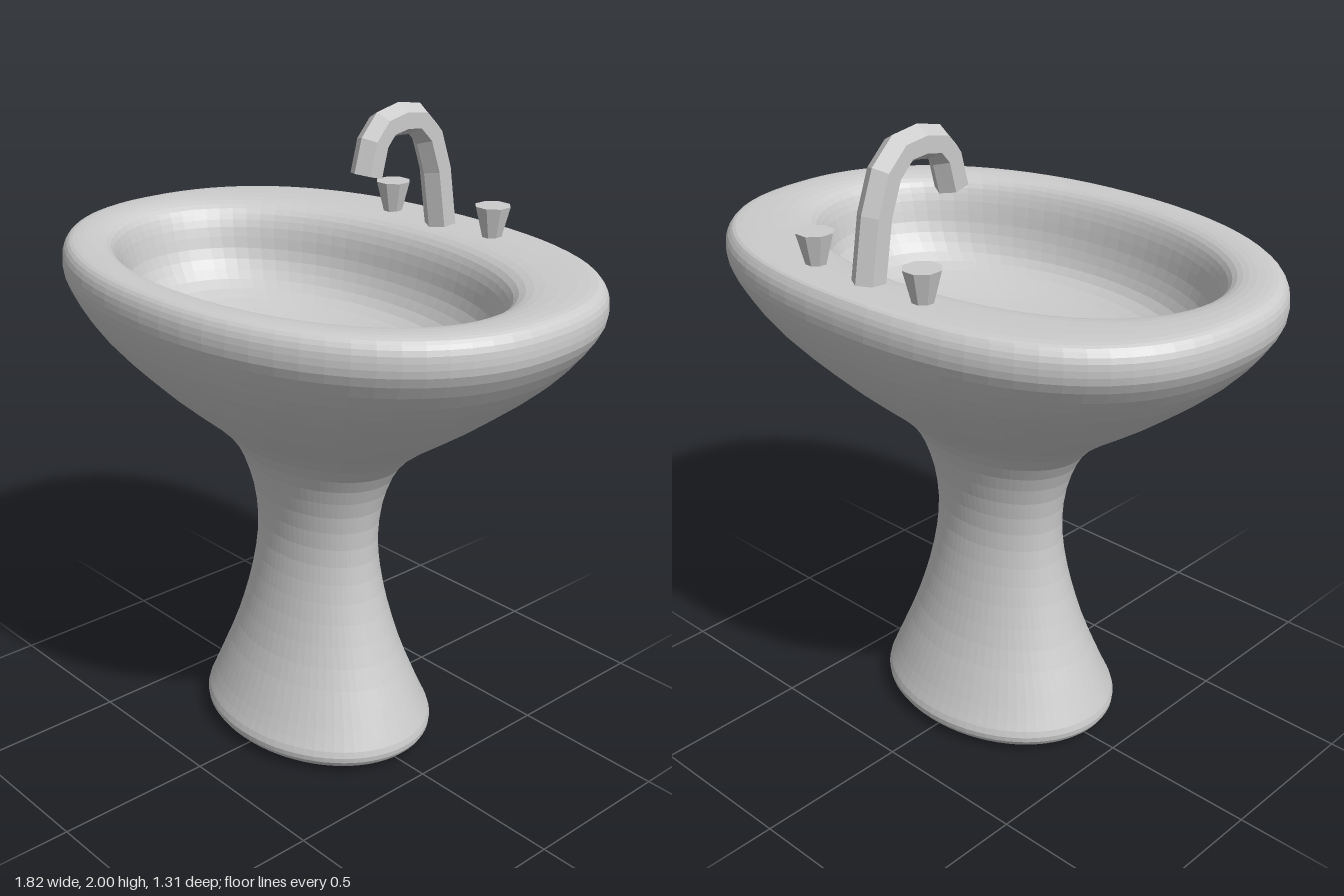
import * as THREE from 'three';

const material = new THREE.MeshStandardMaterial({ color: 0xcccccc, flatShading: true });

// Skin through closed rings of points, with a flat cap at each end
function loft(rings) {
  const n = rings[0].length;
  const points = rings.flat();
  const index = [];
  for (let i = 0; i < rings.length - 1; i++) {
    for (let j = 0; j < n; j++) {
      const k = (j + 1) % n;
      const a = i * n + j, b = i * n + k, c = b + n, d = a + n;
      index.push(a, d, c, a, c, b);
    }
  }
  const middle = (ring) => ring.reduce((s, p) => s.add(p), new THREE.Vector3()).divideScalar(n);
  const start = points.push(middle(rings[0])) - 1;
  const end = points.push(middle(rings[rings.length - 1])) - 1;
  const last = (rings.length - 1) * n;
  for (let j = 0; j < n; j++) {
    const k = (j + 1) % n;
    index.push(start, j, k, end, last + k, last + j);
  }
  const geometry = new THREE.BufferGeometry().setFromPoints(points);
  geometry.setIndex(index);
  geometry.computeVertexNormals();
  return geometry;
}

function addMesh(group, name, geometry) {
  const mesh = new THREE.Mesh(geometry, material);
  mesh.name = name;
  group.add(mesh);
  return mesh;
}

// Pedestal, outer bowl, rim and inner basin: [half width, y, half depth, z centre, back squareness]
const profile = [
  [0.35, 0.00, 0.275, 0, 2],
  [0.395, 0.02, 0.31, 0, 2],
  [0.415, 0.06, 0.33, 0, 2],
  [0.385, 0.14, 0.295, 0, 2],
  [0.31, 0.32, 0.225, 0, 2],
  [0.25, 0.52, 0.175, 0, 2],
  [0.23, 0.70, 0.155, 0, 2],
  [0.26, 0.87, 0.18, 0, 2],
  [0.35, 1.01, 0.245, 0, 2.05],
  [0.59, 1.18, 0.43, 0, 2.1],
  [0.79, 1.34, 0.575, 0, 2.25],
  [0.895, 1.47, 0.645, 0, 2.35],
  [0.91, 1.54, 0.655, 0, 2.4],
  [0.895, 1.585, 0.64, 0, 2.4],
  [0.86, 1.60, 0.61, 0, 2.35],
  [0.78, 1.597, 0.515, 0.04, 2.2],
  [0.725, 1.575, 0.465, 0.055, 2.1],
  [0.695, 1.52, 0.435, 0.06, 2.1],
  [0.66, 1.42, 0.41, 0.06, 2.1],
  [0.58, 1.34, 0.36, 0.065, 2],
  [0.40, 1.295, 0.25, 0.07, 2],
  [0.20, 1.275, 0.125, 0.07, 2],
  [0.03, 1.27, 0.02, 0.07, 2],
];

function basinGeometry() {
  const smooth = (f) => new THREE.CatmullRomCurve3(profile.map(f), false, 'catmullrom', 0.5);
  const size = smooth((p) => new THREE.Vector3(p[0], p[1], p[2]));
  const shape = smooth((p) => new THREE.Vector3(p[3], p[4], 0));
  const steps = (profile.length - 1) * 3, sides = 72;
  const rings = [];
  for (let i = 0; i <= steps; i++) {
    const s = size.getPoint(i / steps), f = shape.getPoint(i / steps);
    const ring = [];
    for (let j = 0; j < sides; j++) {
      const a = (j / sides) * Math.PI * 2;
      const c = Math.cos(a), d = Math.sin(a);
      // The back half of the plan is squarer than the front
      const e = 2 / (d < 0 ? f.y : 2 + (f.y - 2) * 0.3);
      ring.push(new THREE.Vector3(
        s.x * Math.sign(c) * Math.abs(c) ** e,
        s.y,
        f.x + s.z * Math.sign(d) * Math.abs(d) ** e));
    }
    rings.push(ring);
  }
  return loft(rings);
}

// Six-sided spout swept along a hooked path of [z, y] points
function spoutGeometry() {
  const path = [[-0.508, 1.58], [-0.475, 1.78], [-0.435, 1.89], [-0.378, 1.945],
    [-0.31, 1.953], [-0.245, 1.94], [-0.205, 1.895], [-0.18, 1.80]];
  const rings = path.map(([z, y], i) => {
    const p = path[Math.max(i - 1, 0)], q = path[Math.min(i + 1, path.length - 1)];
    const t = new THREE.Vector2(q[0] - p[0], q[1] - p[1]).normalize();
    return Array.from({ length: 6 }, (_, j) => {
      const a = Math.PI / 6 + (j * Math.PI) / 3;
      const u = 0.05 * Math.cos(a), v = 0.05 * Math.sin(a);
      return new THREE.Vector3(u, y - v * t.x, z + v * t.y);
    });
  });
  return loft(rings);
}

export function createModel() {
  const model = new THREE.Group();
  model.name = 'pedestalSink';

  addMesh(model, 'basinAndPedestal', basinGeometry());

  // Tap set on the back of the rim
  const taps = new THREE.Group();
  taps.name = 'taps';
  taps.position.x = 0.018;
  model.add(taps);
  addMesh(taps, 'spout', spoutGeometry());
  for (const side of [-1, 1]) {
    const knob = addMesh(taps, side > 0 ? 'leftKnob' : 'rightKnob',
      new THREE.CylinderGeometry(0.057, 0.028, 0.11, 8));
    knob.rotation.y = Math.PI / 8;
    knob.position.set(side * 0.217, 1.64, -0.508);
  }
  return model;
}
